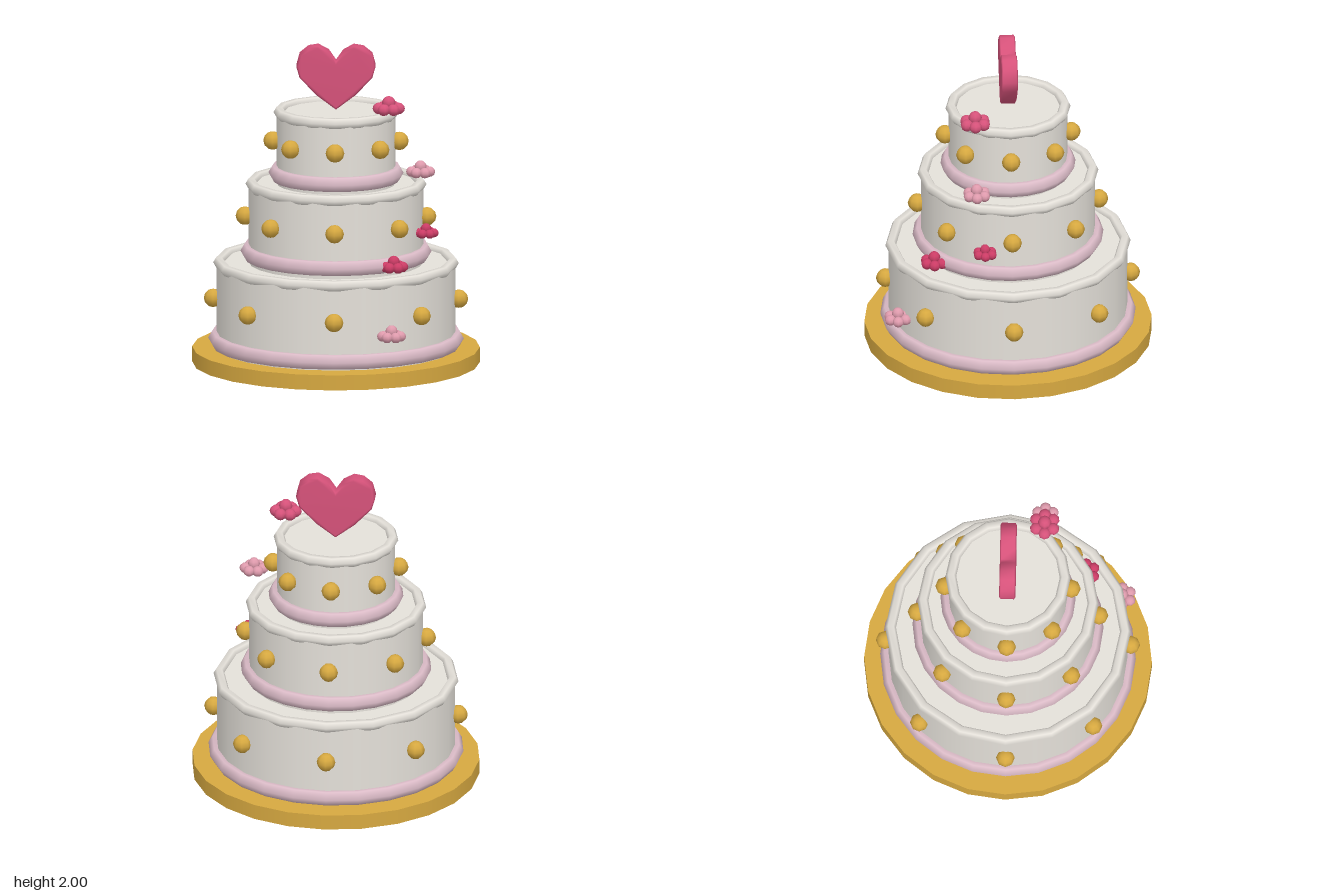
import * as THREE from 'three';
import { mergeVertices } from 'three/addons/utils/BufferGeometryUtils.js';

const paint = (name, color) => {
  const m = new THREE.MeshStandardMaterial({ color });
  m.name = name;
  return m;
};

export function createModel() {
  const cake = new THREE.Group();
  cake.name = 'tieredCake';
  const gold = paint('gold', 0xd6a840);
  const cream = paint('cream icing', 0xe4e0d9);
  const blush = paint('blush icing', 0xdbbbc7);
  const rose = paint('rose', 0xd6527a);
  const deepRose = paint('deep rose', 0xcc3c66);
  const palePink = paint('pale pink', 0xdf9bad);

  const add = (parent, name, geometry, material, x = 0, y = 0, z = 0) => {
    const mesh = new THREE.Mesh(geometry, material);
    mesh.name = name;
    mesh.position.set(x, y, z);
    parent.add(mesh);
    return mesh;
  };

  // Horizontal ring with a hexagonal section
  const ring = (parent, name, radius, tube, segments, y, material) =>
    add(parent, name, new THREE.TorusGeometry(radius, tube, 6, segments).rotateX(Math.PI / 2), material, 0, y);

  // Board
  add(cake, 'board', new THREE.CylinderGeometry(0.89, 0.89, 0.095, 24), gold, 0, 0.0475);

  // Tiers: body, bottom piping, top rim and eight pearls each
  const tiers = [
    { name: 'bottomTier', r: 0.74, base: 0.095, top: 0.655, pipe: 0.15, pearlY: 0.4, pearlR: 0.76 },
    { name: 'middleTier', r: 0.54, base: 0.63, top: 1.153, pipe: 0.7, pearlY: 0.92, pearlR: 0.563 },
    { name: 'topTier', r: 0.367, base: 1.12, top: 1.605, pipe: 1.195, pearlY: 1.395, pearlR: 0.392 },
  ];
  const pearl = new THREE.SphereGeometry(0.058, 8, 6);
  for (const t of tiers) {
    const tier = new THREE.Group();
    tier.name = t.name;
    cake.add(tier);
    const bodyTop = t.top - 0.025;
    add(tier, 'body', new THREE.CylinderGeometry(t.r, t.r, bodyTop - t.base, 24), cream, 0, (bodyTop + t.base) / 2);
    ring(tier, 'piping', t.r, 0.051, 24, t.pipe, blush);
    ring(tier, 'rim', t.r - 0.015, 0.035, 16, t.top - 0.03, cream);
    for (let i = 0; i < 8; i++) {
      const a = (i * Math.PI) / 4;
      const p = add(tier, 'pearl', pearl, gold, Math.sin(a) * t.pearlR, t.pearlY, Math.cos(a) * t.pearlR);
      p.rotation.y = a;
    }
  }

  // Flowers: flattened petals around a raised centre
  const bud = new THREE.SphereGeometry(1, 8, 6);
  const flower = (x, y, z, size, material) => {
    const group = new THREE.Group();
    group.name = 'flower';
    group.position.set(x, y, z);
    cake.add(group);
    for (let i = 0; i < 6; i++) {
      const a = (i * Math.PI) / 3;
      const petal = add(group, 'petal', bud, material, Math.cos(a) * size * 0.6, 0, Math.sin(a) * size * 0.6);
      petal.scale.set(size * 0.4, size * 0.37, size * 0.4);
      petal.rotation.y = -a;
    }
    add(group, 'flowerCentre', bud, material, 0, size * 0.36, 0).scale.setScalar(size * 0.42);
  };
  flower(0.33, 1.645, 0.22, 0.1, rose);
  flower(0.527, 1.247, 0.22, 0.09, palePink);
  flower(0.56, 0.85, 0.17, 0.078, deepRose);
  flower(0.365, 0.697, 0.475, 0.09, deepRose);
  flower(0.355, 0.304, 0.7, 0.09, palePink);

  // Heart topper: faceted outline with soft, shared normals
  const half = [[0.12, 1.69], [0.225, 1.8], [0.245, 1.87], [0.225, 1.945], [0.17, 1.99], [0.11, 2.0], [0.045, 1.965]];
  const outline = [[0, 1.6], ...half, [0, 1.9], ...half.map(([x, y]) => [-x, y]).reverse()];
  const shape = new THREE.Shape(outline.map(([x, y]) => new THREE.Vector2(x, y)));
  let heart = new THREE.ExtrudeGeometry(shape, {
    depth: 0.084, bevelEnabled: true, bevelThickness: 0.008, bevelSize: 0.012, bevelOffset: -0.012, bevelSegments: 1,
  }).translate(0, 0, -0.042);
  heart.deleteAttribute('normal');
  heart.deleteAttribute('uv');
  heart = mergeVertices(heart, 1e-4);
  heart.computeVertexNormals();
  add(cake, 'heartTopper', heart, rose);

  return cake;
}
